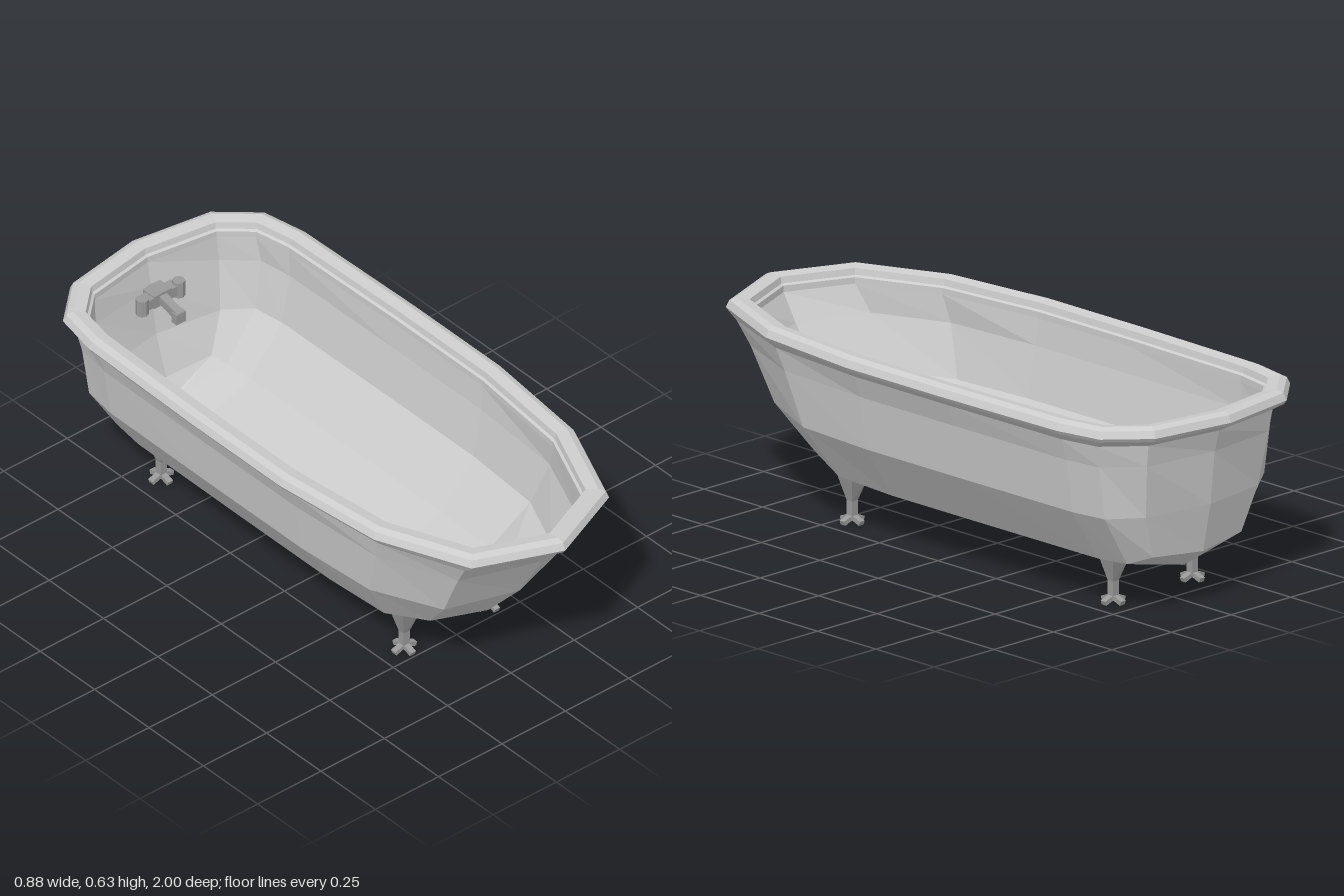
import * as THREE from 'three';

const enamel = new THREE.MeshStandardMaterial({ color: 0xcccccc, flatShading: true });
enamel.name = 'enamel';
const metal = new THREE.MeshStandardMaterial({ color: 0x999999, flatShading: true });
metal.name = 'metal';

// Mirror a half outline (back to front on +x) into a closed ring
function ring(half) {
  const pts = half.map(p => new THREE.Vector3(...p));
  const other = pts.slice(1, -1).reverse().map(p => new THREE.Vector3(-p.x, p.y, p.z));
  return [...pts, ...other];
}

// Shift a ring inward by d in plan, mitred at its corners, and up by dy
function inset(r, d, dy = 0) {
  const n = r.length;
  const normal = (a, b) => new THREE.Vector2(b.z - a.z, a.x - b.x).normalize();
  return r.map((p, i) => {
    const n1 = normal(r[(i + n - 1) % n], p), n2 = normal(p, r[(i + 1) % n]);
    const k = d / (1 + n1.dot(n2));
    return new THREE.Vector3(p.x - (n1.x + n2.x) * k, p.y + dy, p.z - (n1.y + n2.y) * k);
  });
}

// Skin a run of rings, leaving out collapsed triangles
function loft(rings) {
  const pos = [];
  const tri = (a, b, c) => {
    const area = b.clone().sub(a).cross(c.clone().sub(a)).length();
    if (area > 1e-6) for (const p of [a, b, c]) pos.push(p.x, p.y, p.z);
  };
  for (let j = 0; j < rings.length - 1; j++) {
    const a = rings[j], b = rings[j + 1], n = a.length;
    for (let i = 0; i < n; i++) {
      const k = (i + 1) % n;
      tri(a[i], a[k], b[i]);
      tri(a[k], b[k], b[i]);
    }
  }
  const g = new THREE.BufferGeometry();
  g.setAttribute('position', new THREE.Float32BufferAttribute(pos, 3));
  g.computeVertexNormals();
  return g;
}

function add(parent, geometry, material, name, x = 0, y = 0, z = 0) {
  const m = new THREE.Mesh(geometry, material);
  m.name = name;
  m.position.set(x, y, z);
  parent.add(m);
  return m;
}

function makeTub() {
  // Widest outline of the rolled rim
  const rim = ring([[0, .605, -1], [.275, .605, -.957], [.4, .605, -.845], [.43, .605, -.69],
    [.44, .605, -.2], [.44, .605, .2], [.4, .605, .585], [.272, .605, .885], [0, .605, 1]]);
  // Shell sections from the top down
  const neck = ring([[0, .57, -.95], [.26, .57, -.912], [.375, .57, -.812], [.4, .57, -.68],
    [.405, .57, -.2], [.405, .57, .2], [.372, .57, .57], [.265, .57, .845], [0, .57, .945]]);
  const upper = ring([[0, .5, -.93], [.255, .5, -.9], [.36, .5, -.803], [.378, .5, -.68],
    [.38, .5, -.2], [.38, .5, .2], [.358, .5, .545], [.252, .5, .8], [0, .5, .89]]);
  const middle = ring([[0, .33, -.912], [.235, .33, -.875], [.335, .33, -.8], [.352, .33, -.68],
    [.355, .33, -.2], [.355, .33, .2], [.335, .33, .49], [.235, .335, .715], [0, .335, .79]]);
  const lower = ring([[0, .175, -.88], [.185, .19, -.855], [.232, .165, -.79], [.243, .16, -.68],
    [.245, .16, -.2], [.245, .16, .2], [.235, .165, .44], [.185, .2, .595], [0, .178, .645]]);
  // The underside meets in a shallow keel
  const keel = ring([[0, .115, -.8], [0, .115, -.8], [0, .112, -.79], [0, .1, -.66],
    [0, .1, -.2], [0, .1, .2], [0, .118, .43], [0, .122, .45], [0, .122, .45]]);
  const keelInside = keel.map(p => new THREE.Vector3(p.x, p.y + .04, p.z));
  return loft([
    keelInside, inset(lower, .045, .03), inset(middle, .03, .01), inset(upper, .025),
    inset(rim, .078, -.02), inset(rim, .078, 0), inset(rim, .07, .005), inset(rim, .066, .025),
    inset(rim, .03, .031), inset(rim, .01, .022), rim, inset(rim, .008, -.012),
    neck, upper, middle, lower, keel,
  ]);
}

// Square leg flaring into the shell, standing on four claws
function makeFoot(side, z, name) {
  const foot = new THREE.Group();
  foot.name = name;
  foot.position.set(side * .166, 0, z);
  const flare = new THREE.CylinderGeometry(.052, .017, .09, 4, 1).rotateY(Math.PI / 4);
  const p = flare.attributes.position;
  for (let i = 0; i < p.count; i++) {
    if (p.getY(i) > 0) p.setY(i, p.getY(i) + side * p.getX(i) * .25);
  }
  add(foot, flare, metal, 'legFlare', 0, .118, 0);
  add(foot, new THREE.BoxGeometry(.024, .065, .024), metal, 'ankle', 0, .045, 0);
  for (let i = 0; i < 4; i++) {
    const claw = new THREE.Group();
    claw.name = 'claw';
    claw.rotation.y = i * Math.PI / 2;
    foot.add(claw);
    const toe = add(claw, new THREE.BoxGeometry(.036, .014, .02), metal, 'toe', .024, .015, 0);
    toe.rotation.z = -.35;
  }
  return foot;
}

function makeFaucet() {
  const faucet = new THREE.Group();
  faucet.name = 'faucet';
  faucet.position.set(0, .49, -.87);
  add(faucet, new THREE.BoxGeometry(.13, .035, .04), metal, 'crossbar', 0, 0, 0);
  add(faucet, new THREE.BoxGeometry(.07, .045, .06), metal, 'wallMount', 0, 0, -.01);
  for (const s of [-1, 1]) {
    add(faucet, new THREE.CylinderGeometry(.02, .02, .055, 8), metal, 'tapHandle', s * .072, 0, .008);
  }
  const spout = add(faucet, new THREE.BoxGeometry(.028, .028, .1), metal, 'spout', 0, -.008, .05);
  spout.rotation.x = .25;
  add(faucet, new THREE.BoxGeometry(.038, .036, .024), metal, 'spoutTip', 0, -.026, .092);
  return faucet;
}

export function createModel() {
  const model = new THREE.Group();
  model.name = 'bathtub';
  add(model, makeTub(), enamel, 'tubShell');
  for (const s of [-1, 1]) {
    const label = s > 0 ? 'Left' : 'Right';
    model.add(makeFoot(s, .452, 'front' + label + 'Foot'));
    model.add(makeFoot(s, -.665, 'back' + label + 'Foot'));
  }
  model.add(makeFaucet());
  return model;
}
